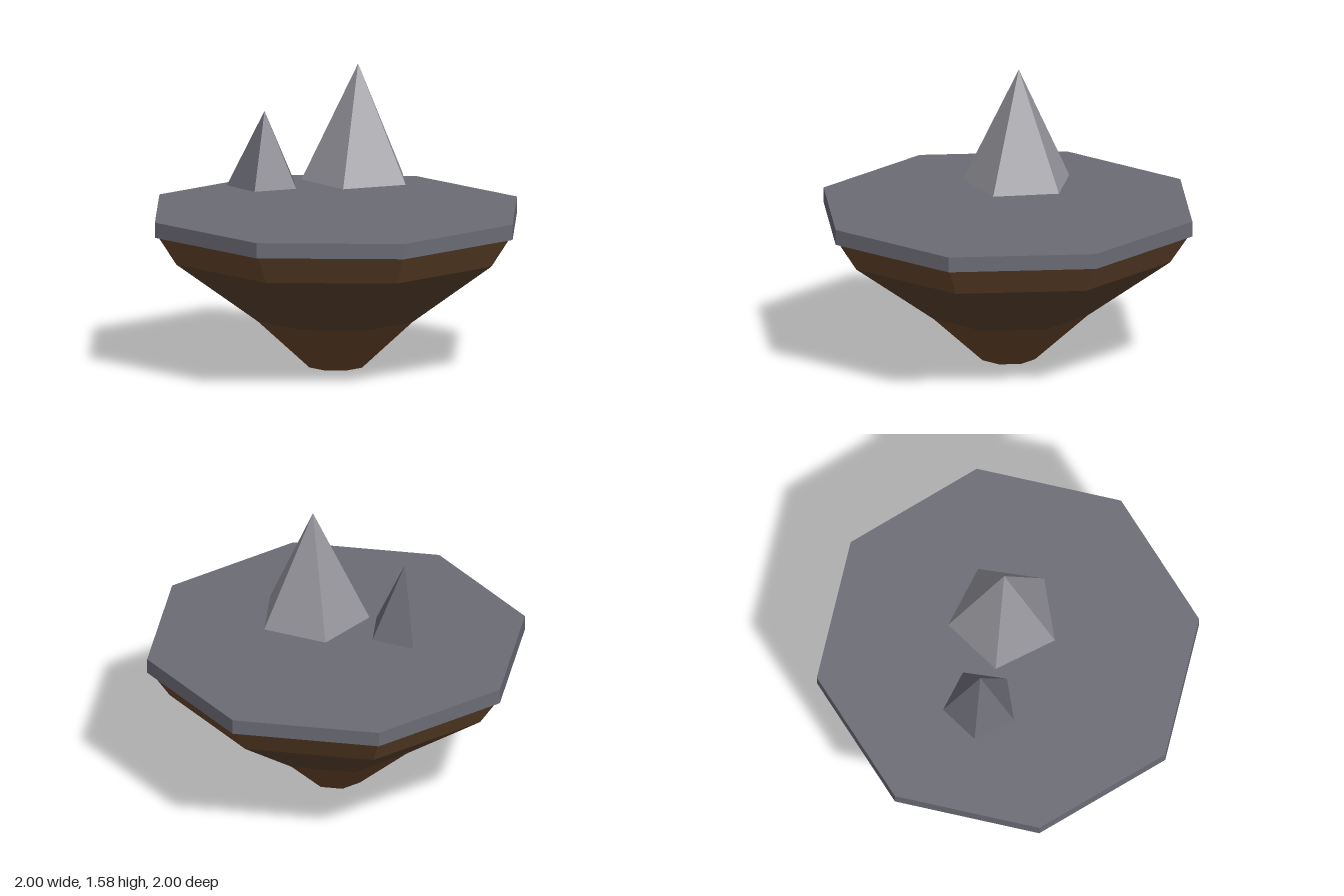
import * as THREE from 'three';

const material = (name, color) => {
  const m = new THREE.MeshStandardMaterial({ color });
  m.name = name;
  m.flatShading = true;
  return m;
};

export function createModel() {
  const group = new THREE.Group();
  group.name = 'floatingIsland';

  const slate = material('slate', 0x6b6b75);
  const paleStone = material('paleStone', 0x95949b);
  const earth = material('earth', 0x6b4a2e);
  const darkEarth = material('darkEarth', 0x5c4230);

  const add = (name, geometry, mat, x, y, z) => {
    const mesh = new THREE.Mesh(geometry, mat);
    mesh.name = name;
    mesh.position.set(x, y, z);
    group.add(mesh);
    return mesh;
  };

  // Eight-sided layer between two heights
  const layer = (name, rTop, rBottom, yTop, yBottom, mat, open) =>
    add(name, new THREE.CylinderGeometry(rTop, rBottom, yTop - yBottom, 8, 1, open),
      mat, 0, (yTop + yBottom) / 2, 0);

  // Flat stone top and the tapering earth beneath it
  layer('stoneTop', 1, 1, 0.82, 0.74, slate, false);
  layer('upperEarth', 0.98, 0.88, 0.74, 0.59, earth, true);
  layer('middleEarth', 0.88, 0.432, 0.59, 0.262, darkEarth, true);
  layer('lowerEarth', 0.432, 0.147, 0.262, 0, earth, false);

  // Five-sided spikes hovering over the top, one corner towards the back
  const spike = (name, r, yBase, yTip, x, z, mat) => {
    const h = yTip - yBase;
    add(name, new THREE.ConeGeometry(r, h, 5), mat, x, yBase + h / 2, z).rotation.y = Math.PI;
  };
  spike('largeSpike', 0.293, 0.973, 1.58, 0.122, 0, paleStone);
  spike('smallSpike', 0.195, 0.936, 1.325, -0.32, -0.197, slate);

  return group;
}
